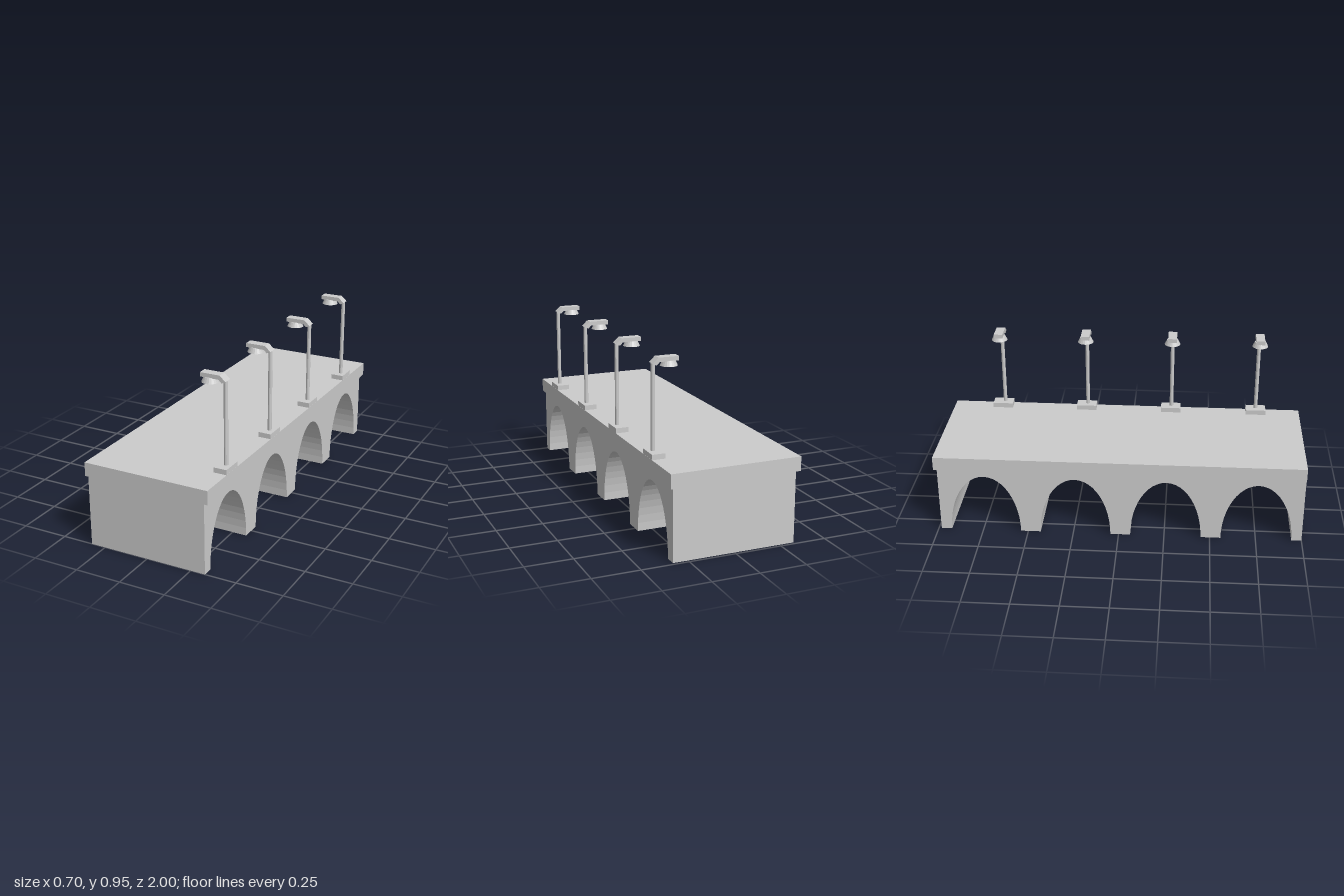
import * as THREE from 'three';

const grey = new THREE.MeshStandardMaterial({ color: 0xcccccc, flatShading: true });

function addMesh(parent, name, geometry, x = 0, y = 0, z = 0) {
  const mesh = new THREE.Mesh(geometry, grey);
  mesh.name = name;
  mesh.position.set(x, y, z);
  parent.add(mesh);
  return mesh;
}

// Side outline of the wall with elliptical arches cut from its foot, extruded across the bridge
function archWallGeometry() {
  const halfWidth = 0.33, top = 0.38, back = -0.985, front = 1;
  const radius = 0.193, rise = 0.337, steps = 24;
  const shape = new THREE.Shape();
  shape.moveTo(back, 0);
  for (let i = 0; i < 4; i++) {
    const centre = -0.733 + i * 0.495;
    for (let k = 0; k <= steps; k++) {
      const a = Math.PI * (1 - k / steps);
      shape.lineTo(centre + radius * Math.cos(a), rise * Math.sin(a));
    }
  }
  shape.lineTo(front, 0);
  shape.lineTo(front, top);
  shape.lineTo(back, top);
  shape.closePath();
  const geometry = new THREE.ExtrudeGeometry(shape, { depth: 2 * halfWidth, bevelEnabled: false });
  return geometry.rotateY(-Math.PI / 2).translate(halfWidth, 0, 0);
}

// Bent arm, outlined from the side
function armGeometry() {
  const width = 0.048;
  const points = [
    [0.189, 0.928], [0.29, 0.928], [0.306, 0.912], [0.327, 0.922], [0.296, 0.95], [0.189, 0.95],
  ].map(([x, y]) => new THREE.Vector2(x, y));
  const geometry = new THREE.ExtrudeGeometry(new THREE.Shape(points), { depth: width, bevelEnabled: false });
  return geometry.translate(0, 0, -width / 2);
}

export function createModel() {
  const bridge = new THREE.Group();
  bridge.name = 'bridge';

  addMesh(bridge, 'archWall', archWallGeometry());
  addMesh(bridge, 'deck', new THREE.BoxGeometry(0.697, 0.075, 2), 0, 0.4175, 0);

  // Street lamps along the left edge
  const plinth = new THREE.BoxGeometry(0.071, 0.027, 0.113);
  const pole = new THREE.CylinderGeometry(0.0108, 0.0108, 0.445, 12);
  const shade = new THREE.CylinderGeometry(0.031, 0.044, 0.027, 20);
  const arm = armGeometry();
  for (let i = 0; i < 4; i++) {
    const lamp = new THREE.Group();
    lamp.name = 'streetLamp';
    lamp.position.z = 0.75 - i * 0.4855;
    addMesh(lamp, 'lampPlinth', plinth, 0.3125, 0.4685, -i * 0.003);
    addMesh(lamp, 'lampPole', pole, 0.3165, 0.6975, 0);
    addMesh(lamp, 'lampArm', arm);
    addMesh(lamp, 'lampShade', shade, 0.233, 0.9165, 0);
    bridge.add(lamp);
  }
  return bridge;
}
